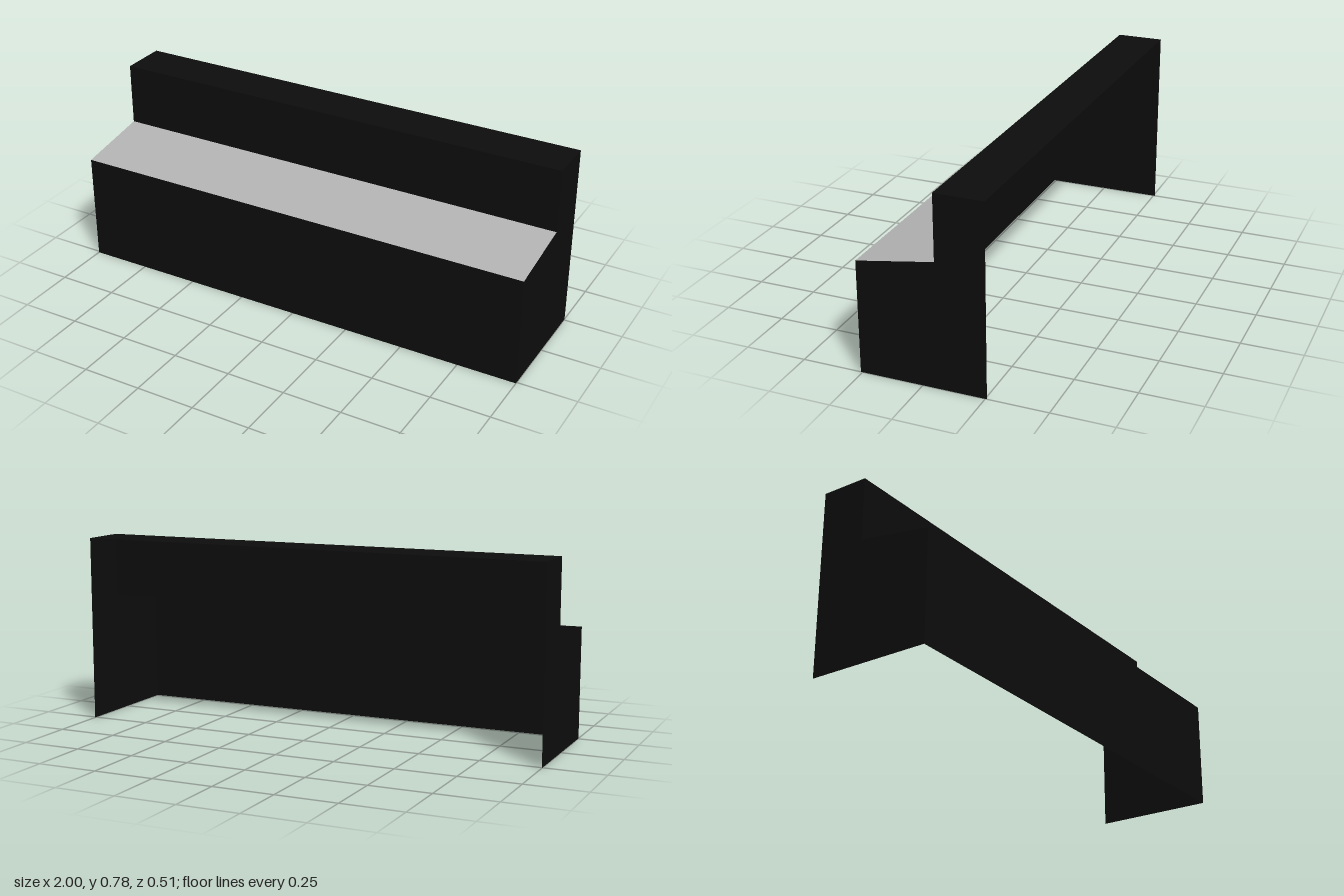
import * as THREE from 'three';

export function createModel() {
  const group = new THREE.Group();
  const black = new THREE.MeshStandardMaterial({ name: 'black', color: 0x0d0d0d, side: THREE.DoubleSide });
  const grey = new THREE.MeshStandardMaterial({ name: 'light grey', color: 0xb4b4b4, side: THREE.DoubleSide });

  // Side profile as (z, y) points, from the front foot up to the back top edge
  const profile = [[0.257, 0], [0.257, 0.462], [-0.059, 0.514], [-0.059, 0.78], [-0.257, 0.78]];

  const add = (name, geometry, material) => {
    const mesh = new THREE.Mesh(geometry, material);
    mesh.name = name;
    group.add(mesh);
    return mesh;
  };

  // Full-width sheets, one for each profile segment; back and bottom stay open
  const sheets = [['frontPanel', black], ['slopedLedge', grey], ['upperPanel', black], ['topPanel', black]];
  sheets.forEach(([name, material], i) => {
    const [z0, y0] = profile[i];
    const [z1, y1] = profile[i + 1];
    const sheet = new THREE.PlaneGeometry(2, Math.hypot(z1 - z0, y1 - y0));
    sheet.rotateX(Math.atan2(z1 - z0, y1 - y0));
    sheet.translate(0, (y0 + y1) / 2, (z0 + z1) / 2);
    add(name, sheet, material);
  });

  // End panels follow the profile and close it down the back edge
  const outline = new THREE.Shape([...profile, [-0.257, 0]].map(([z, y]) => new THREE.Vector2(z, y)));
  for (const [name, x] of [['leftEndPanel', 1], ['rightEndPanel', -1]]) {
    const end = new THREE.ShapeGeometry(outline);
    end.rotateY(-Math.PI / 2);
    end.translate(x, 0, 0);
    add(name, end, black);
  }
  return group;
}
